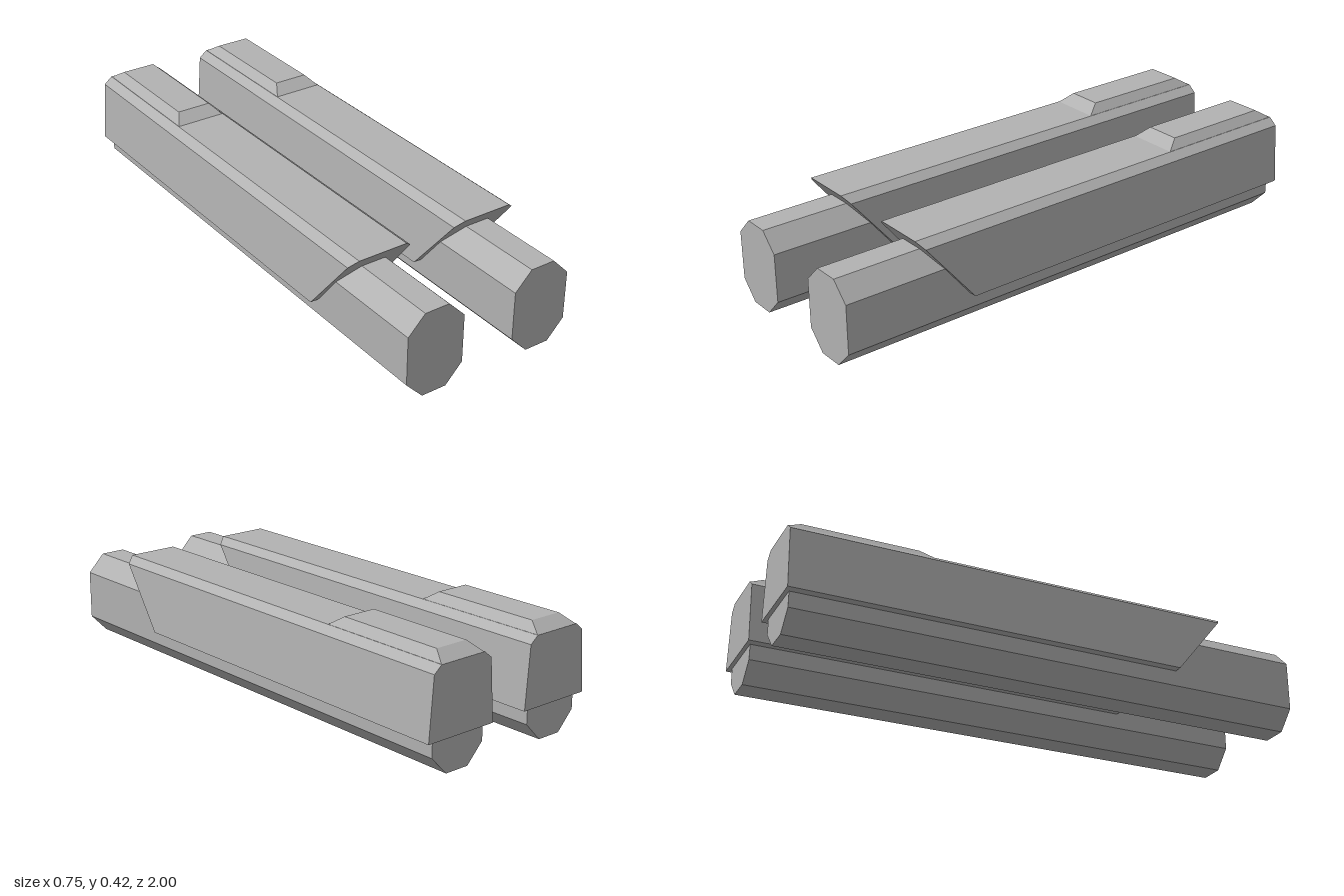
import * as THREE from 'three';

// Convex solid lofted between a back ring and a front ring of [x, y, z] corners,
// both listed anticlockwise as seen from +z.
function loft(back, front) {
  const n = back.length;
  const index = [];
  for (let i = 0; i < n; i++) {
    const j = (i + 1) % n;
    index.push(i, j, n + j, i, n + j, n + i);
  }
  for (let i = 1; i < n - 1; i++) {
    index.push(0, i + 1, i);
    index.push(n, n + i, n + i + 1);
  }
  const geometry = new THREE.BufferGeometry();
  geometry.setAttribute('position', new THREE.Float32BufferAttribute([...back, ...front].flat(), 3));
  geometry.setIndex(index);
  const flat = geometry.toNonIndexed();
  flat.computeVertexNormals();
  return flat;
}

// Symmetric section from [halfWidth, y] pairs running bottom to top.
function section(half, zAt) {
  const right = half.map(([w, y]) => [w, y, zAt(y)]);
  const left = half.map(([w, y]) => [-w, y, zAt(y)]).reverse();
  return [...right, ...left];
}

export function createModel() {
  const model = new THREE.Group();
  model.name = 'pairedRails';
  const grey = new THREE.MeshStandardMaterial({ color: 0xb2b2b2, flatShading: true });
  grey.name = 'plain grey';

  // Octagonal inner bar
  const barHalf = [[0.049, 0], [0.116, 0.07], [0.116, 0.257], [0.049, 0.325]];
  const barGeometry = loft(section(barHalf, () => -0.985), section(barHalf, () => 1));

  // Tapered housing with a raked front
  const coverHalf = [[0.148, 0.13], [0.13, 0.362], [0.098, 0.388]];
  const rake = (y) => 0.5 + (y - 0.13) * (0.21 / 0.258);
  const coverGeometry = loft(section(coverHalf, () => -1), section(coverHalf, rake));

  // Bevelled raised pad on the rear of the housing
  const padHalf = [[0.098, 0.386], [0.067, 0.421]];
  const slope = (a, b) => (y) => a + (b - a) * (y - 0.386) / 0.035;
  const padGeometry = loft(section(padHalf, slope(-1, -0.945)), section(padHalf, slope(-0.455, -0.508)));

  for (const side of [-1, 1]) {
    const rail = new THREE.Group();
    rail.name = side > 0 ? 'leftRail' : 'rightRail';
    rail.position.x = side * 0.225;
    for (const [name, geometry] of [['innerBar', barGeometry], ['housing', coverGeometry], ['raisedPad', padGeometry]]) {
      const mesh = new THREE.Mesh(geometry, grey);
      mesh.name = name;
      rail.add(mesh);
    }
    model.add(rail);
  }
  return model;
}
